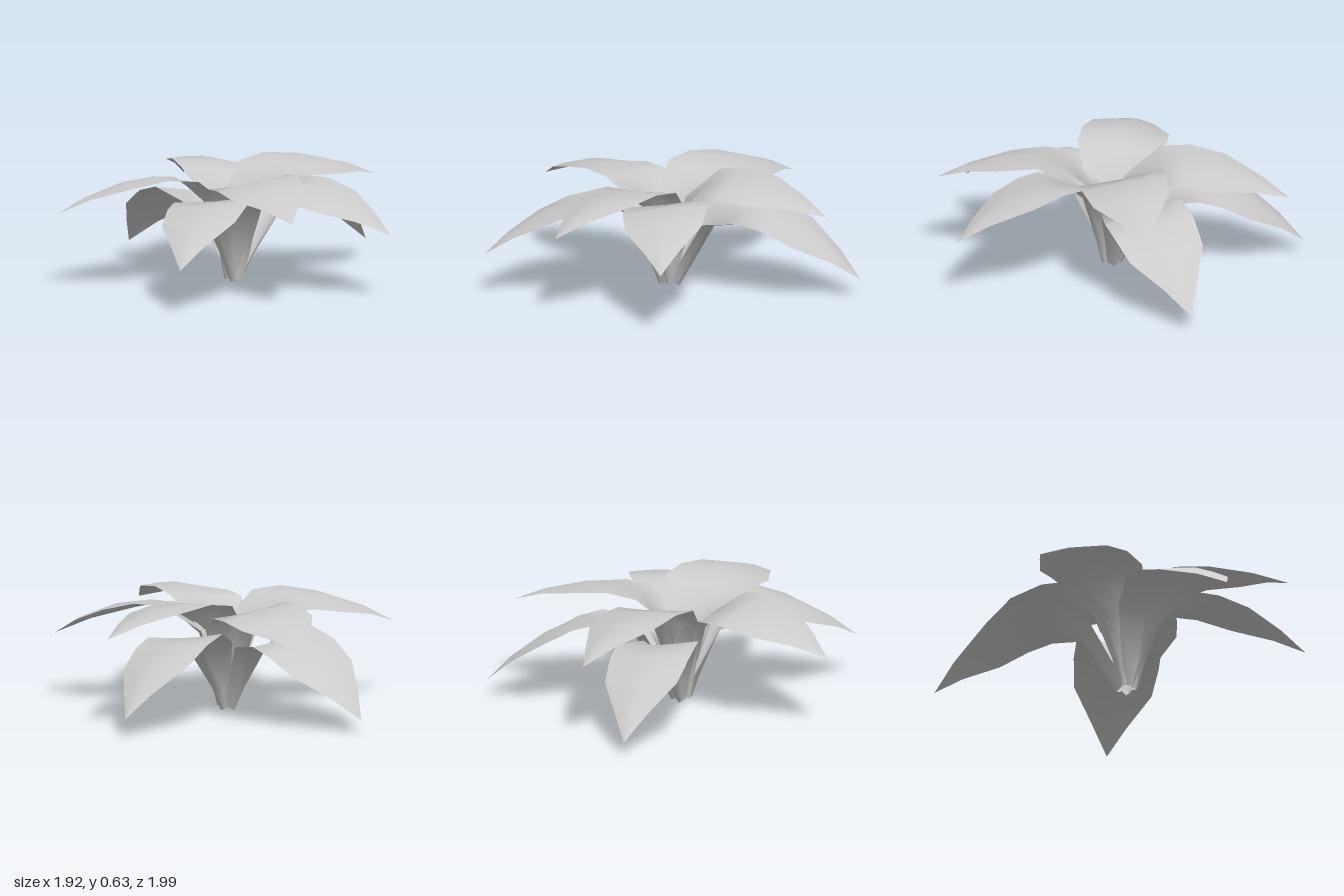
import * as THREE from 'three';

// Leaf stations from root to tip: distance out, height, half width, cupping
const STATIONS = [
  [0.055, 0.0, 0.03, 0.04],
  [0.115, 0.11, 0.06, 0.06],
  [0.24, 0.34, 0.145, 0.065],
  [0.41, 0.435, 0.22, 0.012],
  [0.55, 0.425, 0.22, -0.015],
  [0.72, 0.352, 0.2, -0.03],
  [0.89, 0.225, 0.09, -0.015],
  [1.01, 0.1, 0.0, 0.0],
];
const REACH = Math.hypot(1.01, 0.1);
const REST_ANGLE = Math.atan2(0.1, 1.01);
const ROLL = 0.13;
const ROOT = new THREE.Vector3(-0.02, 0.005, 0.02);

// Tip position of every leaf
const UPPER_TIPS = [[0.32, 0.49, -0.83], [0.71, 0.47, 0.59], [-0.69, 0.41, 0.71], [-0.74, 0.43, -0.6]];
const LOWER_TIPS = [[0.15, 0.1, -1.0], [0.96, 0.35, 0.02], [0.26, 0.24, 0.99], [-0.96, 0.07, -0.41]];

// Arched leaf: a plane bent along the stations, cupped at the stem,
// drooping at the outer edges and rolled slightly to one side
function leafGeometry() {
  const across = 4;
  const last = STATIONS.length - 1;
  const geometry = new THREE.PlaneGeometry(1, 1, across, last);
  const position = geometry.attributes.position;
  for (let i = 0; i < position.count; i++) {
    const row = Math.floor(i / (across + 1));
    const u = ((i % (across + 1)) / across) * 2 - 1;
    const [out, height, half, cup] = STATIONS[row];
    const before = STATIONS[Math.max(row - 1, 0)];
    const after = STATIONS[Math.min(row + 1, last)];
    const tangent = new THREE.Vector2(after[0] - before[0], after[1] - before[1]).normalize();
    const roll = ROLL * u * half * Math.min(1, out / 0.4);
    const lift = cup * Math.pow(Math.abs(u), 1.4) + roll;
    position.setXYZ(i, out - tangent.y * lift, height + tangent.x * lift, -u * half);
  }
  geometry.computeVertexNormals();
  return geometry;
}

export function createModel() {
  const group = new THREE.Group();
  group.name = 'leafRosette';
  const material = new THREE.MeshStandardMaterial({ color: 0xcccccc, side: THREE.DoubleSide });
  const geometry = leafGeometry();

  // Turn, tilt and scale the shared leaf so that it ends at its tip
  const addLeaf = (name, tip) => {
    const reach = new THREE.Vector3(...tip).sub(ROOT);
    const leaf = new THREE.Mesh(geometry, material);
    const tilt = Math.atan2(reach.y, Math.hypot(reach.x, reach.z)) - REST_ANGLE;
    leaf.name = name;
    leaf.position.copy(ROOT);
    leaf.rotation.set(0, Math.atan2(-reach.z, reach.x), tilt);
    leaf.scale.setScalar(reach.length() / REACH);
    group.add(leaf);
  };
  UPPER_TIPS.forEach((tip, i) => addLeaf(`upperLeaf${i + 1}`, tip));
  LOWER_TIPS.forEach((tip, i) => addLeaf(`lowerLeaf${i + 1}`, tip));

  return group;
}
